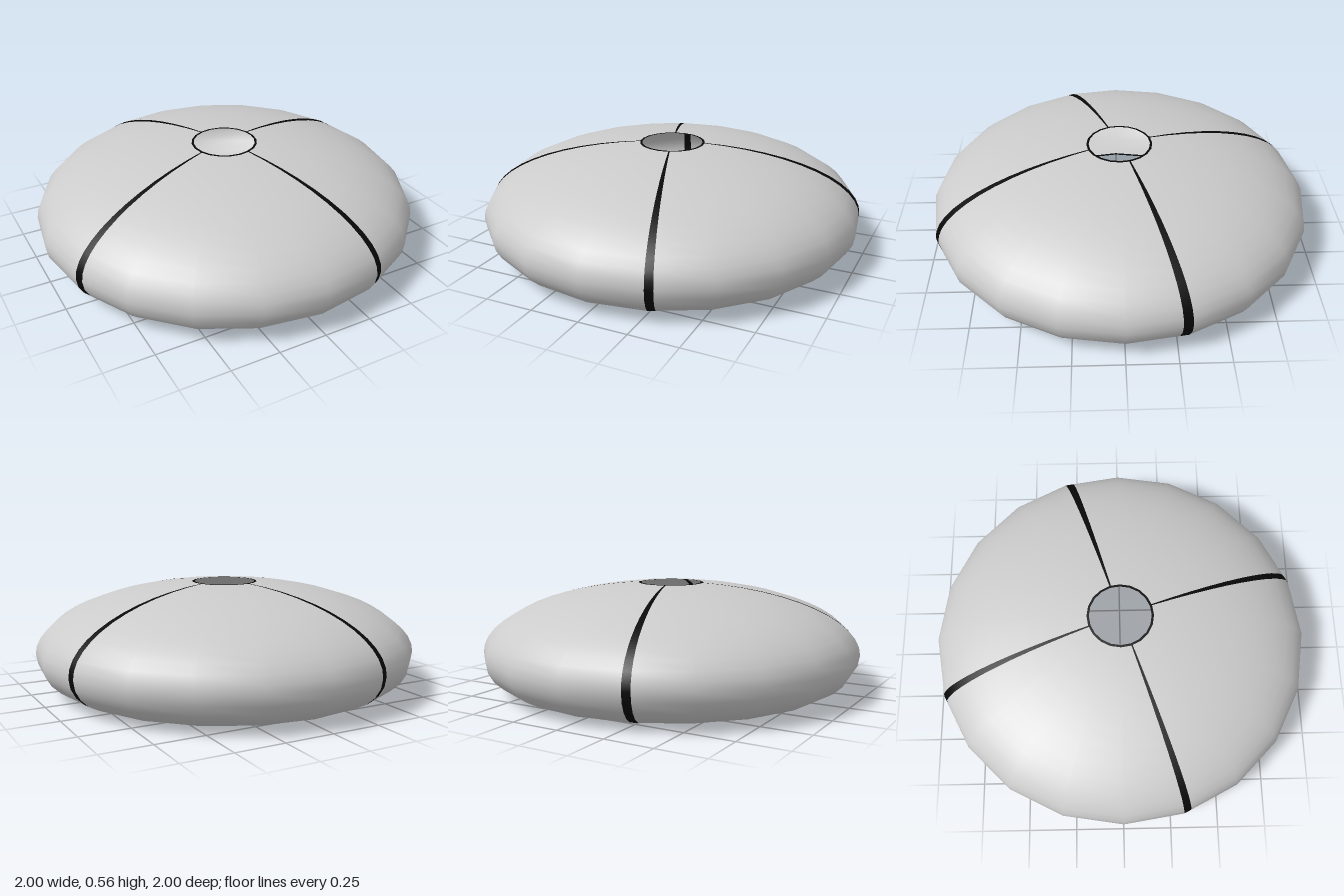
import * as THREE from 'three';

const SIDES = 20;
const grey = new THREE.MeshStandardMaterial({ color: 0xcccccc, side: THREE.DoubleSide });
const black = new THREE.MeshStandardMaterial({ color: 0x080808, side: THREE.DoubleSide });

// Shell profile (radius, height) with outward normals, from lower rim to top rim
function makeProfile() {
  const points = [];
  const add = (cr, cy, a, b, t) => points.push({
    r: cr + a * Math.cos(t), y: cy + b * Math.sin(t),
    n: new THREE.Vector2(Math.cos(t) / a, Math.sin(t) / b).normalize(),
  });
  const lower = [-90, -87, -75, -60, -45, -30, -15];
  for (const deg of lower) add(0.715, 0.2, 0.285, 0.2, THREE.MathUtils.degToRad(deg));
  const end = Math.acos(0.16), steps = 12;
  for (let i = 0; i < steps; i++) add(0, 0.2, 1, 0.365, end * i / steps);
  add(0, 0.2, 1, 0.365, Math.acos(0.172));
  add(0, 0.2, 1, 0.365, end);
  return points;
}

// Direction of a position u around the twenty-sided outline (fractions lie on the flat facet)
function around(u) {
  const i = Math.floor(u), step = Math.PI * 2 / SIDES;
  const corner = (k) => new THREE.Vector2(Math.sin(k * step), Math.cos(k * step));
  return corner(i).lerp(corner(i + 1), u - i);
}

// Sweeps a stretch of the profile from u0 to u1
function sweep(name, profile, u0, u1, material) {
  const columns = [u0];
  for (let u = Math.floor(u0) + 1; u < u1; u++) columns.push(u);
  columns.push(u1);
  const positions = [], normals = [], index = [], rows = profile.length;
  columns.forEach((u, i) => {
    const d = around(u), e = d.clone().normalize();
    profile.forEach((p, j) => {
      positions.push(d.x * p.r, p.y, d.y * p.r);
      normals.push(e.x * p.n.x, p.n.y, e.y * p.n.x);
      if (i < columns.length - 1 && j < rows - 1) {
        const a = i * rows + j, b = a + rows;
        index.push(a, b, a + 1, b, b + 1, a + 1);
      }
    });
  });
  const geometry = new THREE.BufferGeometry();
  geometry.setAttribute('position', new THREE.Float32BufferAttribute(positions, 3));
  geometry.setAttribute('normal', new THREE.Float32BufferAttribute(normals, 3));
  geometry.setIndex(index);
  const mesh = new THREE.Mesh(geometry, material);
  mesh.name = name;
  return mesh;
}

export function createModel() {
  const model = new THREE.Group();
  model.name = 'cushionShell';
  const profile = makeProfile();
  const body = profile.slice(1, -1);

  // Four grey panels
  const panels = [[1.13, 5.85], [6, 11], [11.13, 16], [16.13, 21]];
  panels.forEach(([a, b], i) => model.add(sweep(`panel${i + 1}`, body, a, b, grey)));

  // Dark tapering seams between the panels
  const seams = [[1, 1.13], [5.85, 6], [11, 11.13], [16, 16.13]];
  seams.forEach(([a, b], i) => model.add(sweep(`seam${i + 1}`, body, a, b, black)));

  // Thin dark trims around both openings
  model.add(sweep('lowerTrim', profile.slice(0, 2), 0, SIDES, black));
  model.add(sweep('upperTrim', profile.slice(-2), 0, SIDES, black));
  return model;
}
